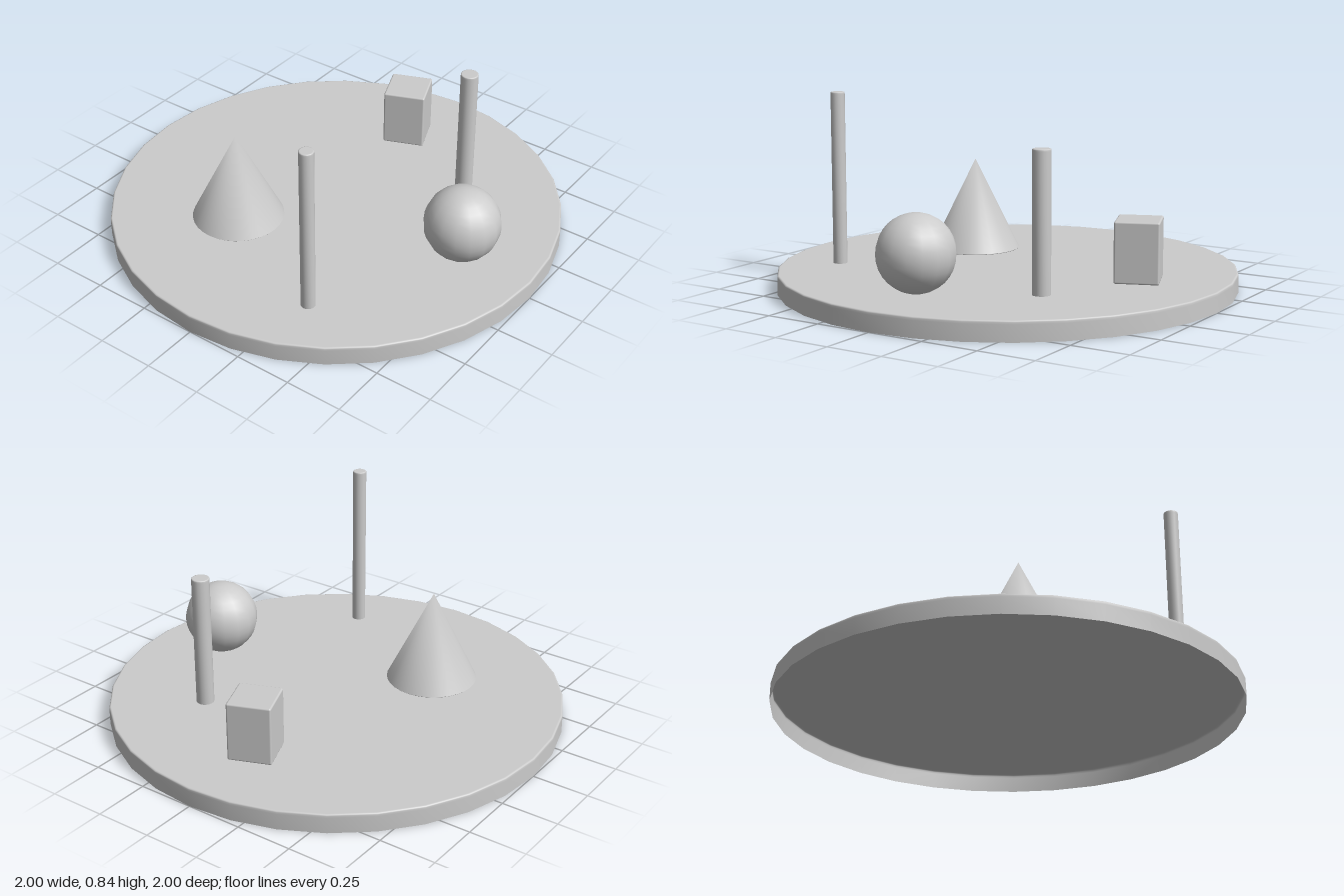
import * as THREE from 'three';
import { mergeVertices } from 'three/addons/utils/BufferGeometryUtils.js';
import { RoundedBoxGeometry } from 'three/addons/geometries/RoundedBoxGeometry.js';

const FLOOR = 0.084; // top of the base disc

// Turned shape with normals blended over all its edges
function turned(points, sides) {
  const geometry = new THREE.LatheGeometry(points.map(([r, y]) => new THREE.Vector2(r, y)), sides);
  geometry.deleteAttribute('normal');
  geometry.deleteAttribute('uv');
  const merged = mergeVertices(geometry);
  merged.computeVertexNormals();
  return merged;
}

// Radius and height points of a softened upper rim, closed to the axis
const softTop = (r, h, b) => [[r, h - b], [r - b * 0.3, h - b * 0.3], [r - b, h], [r - b * 1.5, h], [0, h]];

export function createModel() {
  const model = new THREE.Group();
  const grey = new THREE.MeshStandardMaterial({ color: 0xcccccc, side: THREE.DoubleSide });

  function add(name, geometry, x, y, z) {
    const mesh = new THREE.Mesh(geometry, grey);
    mesh.name = name;
    mesh.position.set(x, y, z);
    model.add(mesh);
    return mesh;
  }

  // Thin round base: a shallow shell, open underneath
  add('baseDisc', turned([[1, 0], [1, 0.07], ...softTop(1, FLOOR, 0.006)], 32), 0, 0, 0);

  // Two upright poles: [name, x, z, radius, top]
  for (const [name, x, z, r, top] of [
    ['tallPole', -0.657, 0.342, 0.031, 0.84],
    ['shortPole', 0.417, 0.406, 0.039, 0.675],
  ]) {
    const h = top - FLOOR;
    add(name, turned([[r, 0], [r, h - 0.01], ...softTop(r, h, 0.004)], 16), x, FLOOR, z);
  }

  // Cone with a softened base edge
  add('cone', turned([[0, 0], [0.197, 0], [0.201, 0.004], [0, 0.413]], 32), -0.35, FLOOR, -0.275);

  // Ball resting on the base
  add('ball', new THREE.SphereGeometry(0.165, 16, 16), -0.013, FLOOR + 0.167, 0.665);

  // Upright block with softened edges, turned on the base
  const blockHeight = 0.346 - FLOOR;
  const block = add('block', new RoundedBoxGeometry(0.19, blockHeight, 0.19, 2, 0.008),
    0.621, FLOOR + blockHeight / 2, -0.04);
  block.rotation.y = 0.38;

  return model;
}
